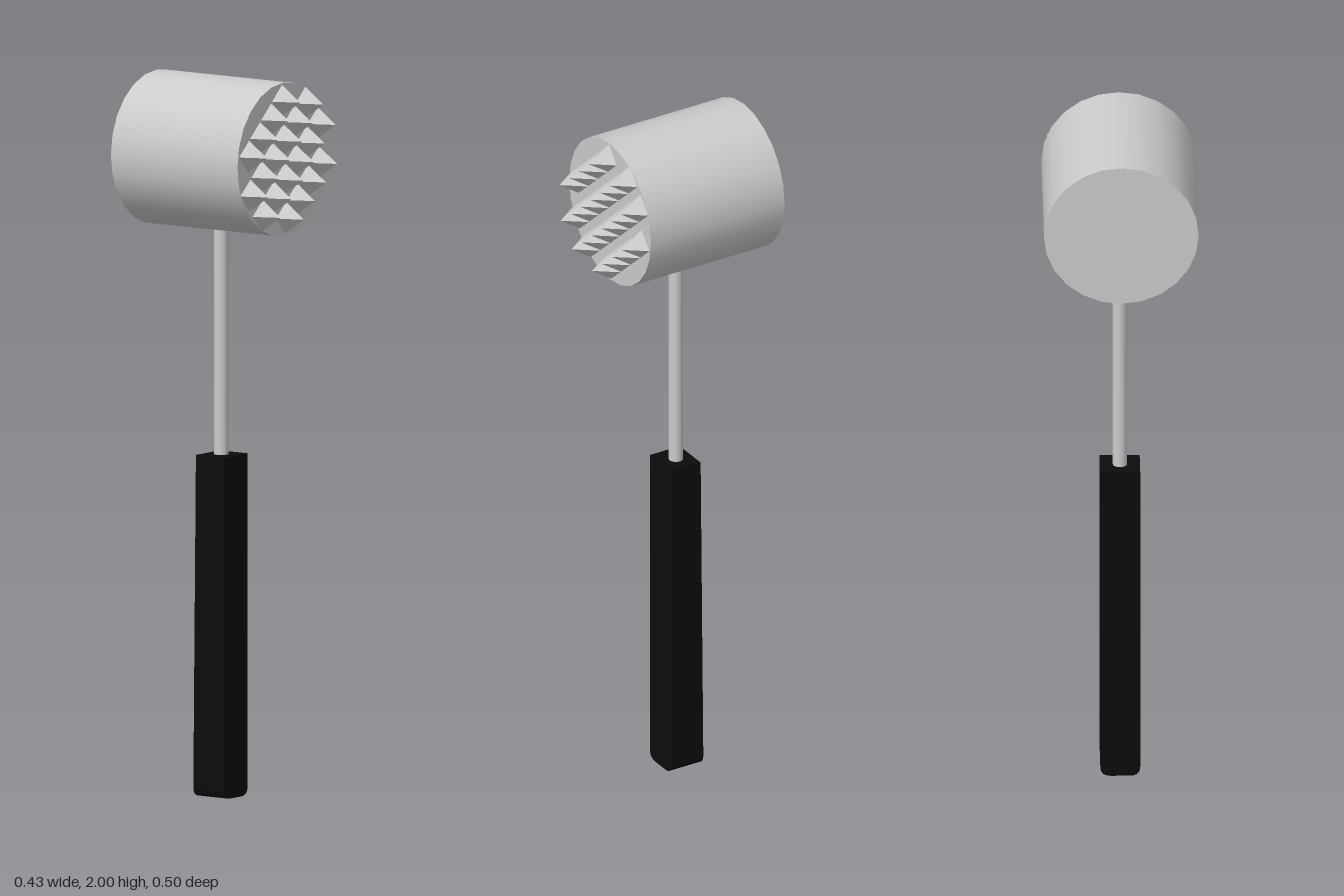
import * as THREE from 'three';

const HEAD_Y = 1.787, HEAD_R = 0.213, FACE_Z = 0.183, BACK_Z = -0.25;

export function createModel() {
  const group = new THREE.Group();
  const steel = new THREE.MeshStandardMaterial({ color: 0xcccccc });
  const facetedSteel = new THREE.MeshStandardMaterial({ color: 0xcccccc, flatShading: true });
  const black = new THREE.MeshStandardMaterial({ color: 0x0c0c0c, flatShading: true });

  const add = (name, geometry, material, parent = group) => {
    const mesh = new THREE.Mesh(geometry, material);
    mesh.name = name;
    parent.add(mesh);
    return mesh;
  };

  // Round head lying along z
  const depth = FACE_Z - BACK_Z;
  const head = add('head', new THREE.CylinderGeometry(HEAD_R, HEAD_R, depth, 24).rotateX(Math.PI / 2), steel);
  head.position.set(0, HEAD_Y, (FACE_Z + BACK_Z) / 2);

  // Pyramid teeth in slanted rows of 4, 6, 6 and 4
  const teeth = new THREE.Group();
  teeth.name = 'teeth';
  teeth.position.set(0, HEAD_Y, FACE_Z);
  teeth.rotation.z = THREE.MathUtils.degToRad(42);
  group.add(teeth);
  const side = 0.062, height = 0.064, alongStep = 0.0685, rowStep = 0.085;
  const pyramid = new THREE.ConeGeometry(side / Math.SQRT2, height, 4)
    .rotateY(Math.PI / 4).rotateX(Math.PI / 2).translate(0, 0, height / 2);
  [4, 6, 6, 4].forEach((count, row) => {
    for (let i = 0; i < count; i++) {
      const tooth = add('tooth', pyramid, facetedSteel, teeth);
      tooth.position.set((i - (count - 1) / 2) * alongStep, (1.5 - row) * rowStep, 0);
    }
  });

  // Thin rod from the grip into the head
  const rod = add('rod', new THREE.CylinderGeometry(0.02, 0.02, 0.7, 16), steel);
  rod.position.set(0, 1.27, -0.03);

  // Grip: flat-sided bar with rounded lower corners
  const w = 0.055, top = 0.95, r = 0.028;
  const outline = new THREE.Shape();
  outline.moveTo(-w, top);
  outline.lineTo(-w, r);
  outline.quadraticCurveTo(-w, 0, -w + r, 0);
  outline.lineTo(w - r, 0);
  outline.quadraticCurveTo(w, 0, w, r);
  outline.lineTo(w, top);
  outline.closePath();
  const gripGeometry = new THREE.ExtrudeGeometry(outline, { depth: 0.1, bevelEnabled: false, curveSegments: 5 });
  gripGeometry.translate(0, 0, -0.08);
  // The back of the grip thickens slightly towards the bottom
  const p = gripGeometry.attributes.position;
  for (let i = 0; i < p.count; i++) {
    if (p.getZ(i) < -0.03) p.setZ(i, -0.085 + 0.009 * p.getY(i) / top);
  }
  gripGeometry.computeVertexNormals();
  add('grip', gripGeometry, black);

  return group;
}
